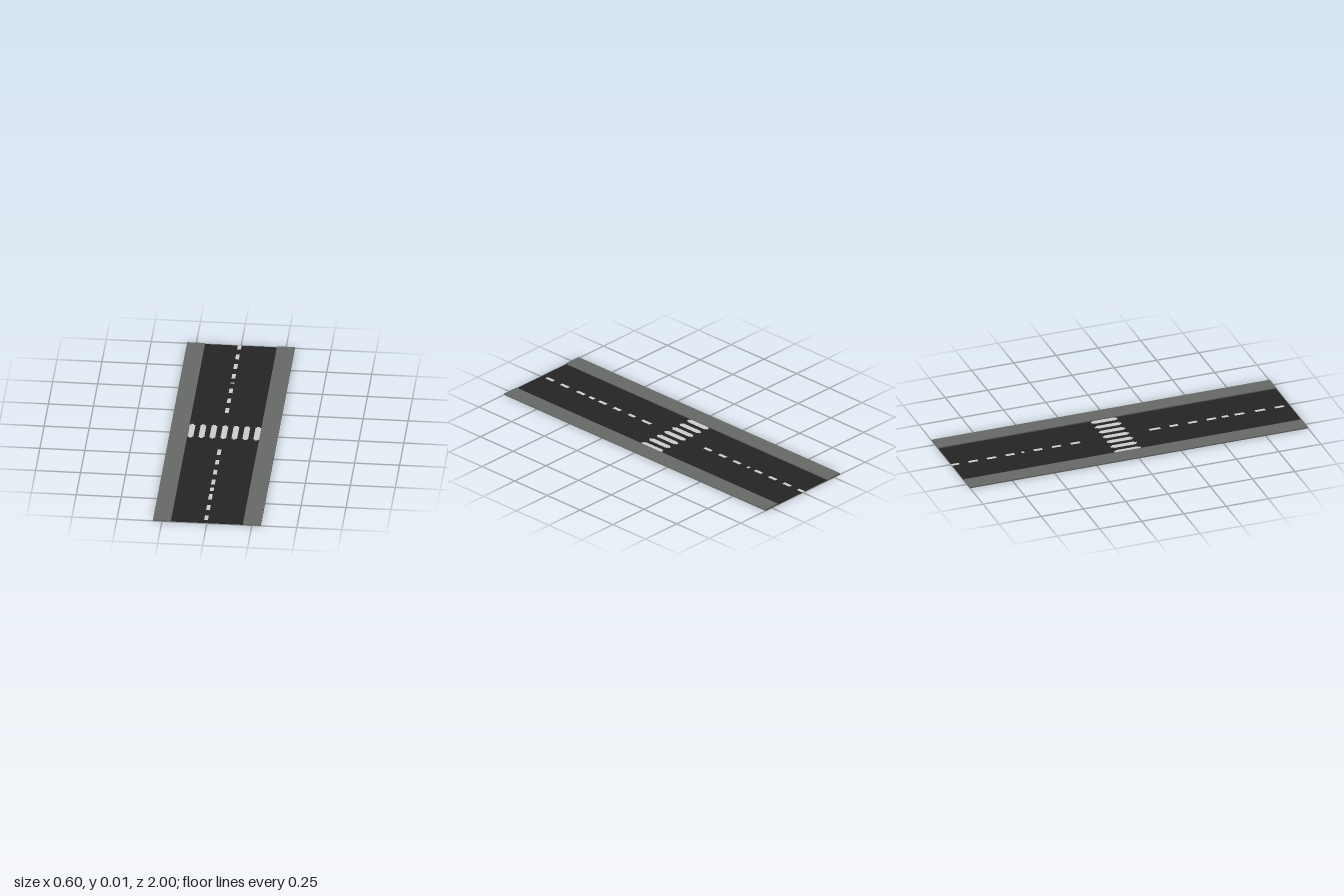
import * as THREE from 'three';

export function createModel() {
  const root = new THREE.Group();
  root.name = 'road';

  const asphalt = new THREE.MeshStandardMaterial({ color: 0x252525, side: THREE.DoubleSide });
  asphalt.name = 'asphalt';
  const concrete = new THREE.MeshStandardMaterial({ color: 0x686a67 });
  concrete.name = 'concrete';
  const paint = new THREE.MeshStandardMaterial({ color: 0xcececc });
  paint.name = 'white paint';

  const add = (name, geometry, material, x, y, z) => {
    const mesh = new THREE.Mesh(geometry, material);
    mesh.name = name;
    mesh.position.set(x, y, z);
    root.add(mesh);
    return mesh;
  };

  // Flat carriageway
  const roadY = 0.001;
  add('carriageway', new THREE.PlaneGeometry(0.4, 2).rotateX(-Math.PI / 2), asphalt, 0, roadY, 0);

  // Raised sidewalks on both sides
  const curbHeight = 0.0075;
  for (const [name, side] of [['leftSidewalk', 1], ['rightSidewalk', -1]]) {
    add(name, new THREE.BoxGeometry(0.1, curbHeight, 2), concrete, side * 0.25, curbHeight / 2, 0);
  }

  // Centre line dashes, as [start, end] along z
  const dashes = [
    [-1, -0.955], [-0.9, -0.845], [-0.79, -0.735], [-0.68, -0.627],
    [-0.585, -0.57], [-0.515, -0.463], [-0.405, -0.352], [-0.295, -0.24],
    [0.17, 0.235], [0.29, 0.34], [0.4, 0.453], [0.51, 0.565],
    [0.6, 0.638], [0.675, 0.733], [0.797, 0.855], [0.913, 0.967],
  ];
  for (const [z0, z1] of dashes) {
    const dash = new THREE.PlaneGeometry(0.021, z1 - z0).rotateX(-Math.PI / 2);
    add('centreDash', dash, paint, -0.008, roadY + 0.0005, (z0 + z1) / 2);
  }

  // Crossing stripes with narrowed ends, showing on both faces of the road
  const w = 0.016, e = 0.008, l = 0.077, c = 0.066;
  const outline = [[-w, -c], [-e, -c], [-e, -l], [e, -l], [e, -c], [w, -c],
    [w, c], [e, c], [e, l], [-e, l], [-e, c], [-w, c]];
  const stripeShape = new THREE.Shape(outline.map(([x, z]) => new THREE.Vector2(x, z)));
  const stripe = new THREE.ExtrudeGeometry(stripeShape, { depth: 0.002, bevelEnabled: false });
  stripe.rotateX(-Math.PI / 2);
  for (let i = -3; i <= 3; i++) add('crossingStripe', stripe, paint, i * 0.061, 0, -0.024);

  return root;
}
